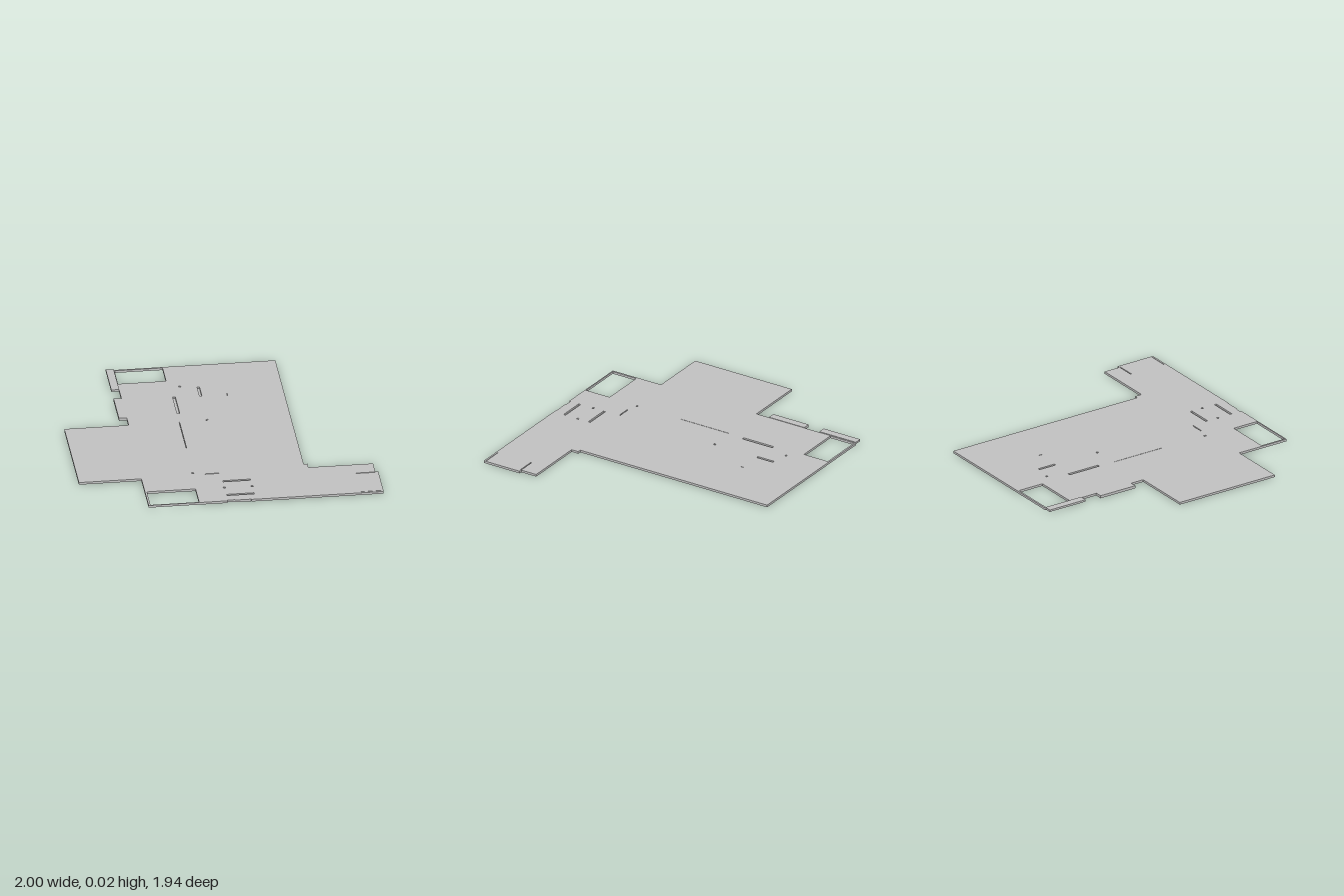
import * as THREE from 'three';

const HEIGHT = 0.016; // plate thickness
const FLOOR = 0.004; // material left under each recess

export function createModel() {
  const model = new THREE.Group();
  model.name = 'floorPlate';
  const grey = new THREE.MeshStandardMaterial({ color: 0xc4c4c4 });
  grey.name = 'light grey';

  const add = (name, geometry) => {
    const mesh = new THREE.Mesh(geometry, grey);
    mesh.name = name;
    model.add(mesh);
    return mesh;
  };
  const box = (name, x0, x1, y0, y1, z0, z1) =>
    add(name, new THREE.BoxGeometry(x1 - x0, y1 - y0, z1 - z0))
      .position.set((x0 + x1) / 2, (y0 + y1) / 2, (z0 + z1) / 2);

  // Plan outline as x, z pairs
  const outline = [
    [-0.567, -0.97], [0.52, -0.97], [0.52, 0.515], [0.545, 0.515], [0.545, 0.567],
    [0.98, 0.567], [0.98, 0.685], [1, 0.685], [1, 0.97], [0.11, 0.97], [0.11, 0.966],
    [0, 0.966], [0, 0.96], [-0.05, 0.96], [-0.05, 0.97], [-0.58, 0.97],
    [-0.58, 0.587], [-1, 0.587], [-1, -0.18], [-0.567, -0.18],
  ];
  const plan = new THREE.Shape(outline.map(([x, z]) => new THREE.Vector2(x, -z)));

  const cutRect = (x0, x1, z0, z1) =>
    plan.holes.push(new THREE.Path([
      new THREE.Vector2(x0, -z0), new THREE.Vector2(x0, -z1),
      new THREE.Vector2(x1, -z1), new THREE.Vector2(x1, -z0),
    ]));

  // Open corner bays
  cutRect(-0.567 + 0.004, -0.24, -0.958, -0.77);
  cutRect(-0.567, -0.24, 0.775, 0.962);

  // Narrow recesses: x0, x1, z0, z1
  const recesses = [
    [-0.226, -0.208, -0.54, -0.3],
    [-0.046, -0.03, -0.66, -0.53],
    [-0.228, -0.225, -0.18, 0.2],
    [-0.045, 0.14, 0.682, 0.698],
    [-0.045, 0.14, 0.878, 0.894],
    [-0.15, -0.055, 0.57, 0.577],
    [0.85, 0.978, 0.687, 0.694],
    [0.85, 0.995, 0.954, 0.958],
    [0.138, 0.142, -0.54, -0.515],
  ];
  // Small square sockets: x, z
  const sockets = [[-0.04, -0.19], [-0.16, -0.68], [-0.047, 0.78], [0.14, 0.78], [-0.23, 0.55]];
  for (const [x, z] of sockets) recesses.push([x - 0.007, x + 0.007, z - 0.007, z + 0.007]);

  for (const [x0, x1, z0, z1] of recesses) {
    cutRect(x0, x1, z0, z1);
    box('recessFloor', x0, x1, 0, FLOOR, z0, z1);
  }

  const plate = new THREE.ExtrudeGeometry(plan, { depth: HEIGHT, bevelEnabled: false });
  plate.rotateX(-Math.PI / 2);
  add('mainPlate', plate);

  // Slightly raised tabs along the right edge
  box('backTab', -0.62, -0.567, 0.008, 0.022, -0.97, -0.68);
  box('middleTab', -0.62, -0.567, 0, 0.019, -0.56, -0.28);

  return model;
}
